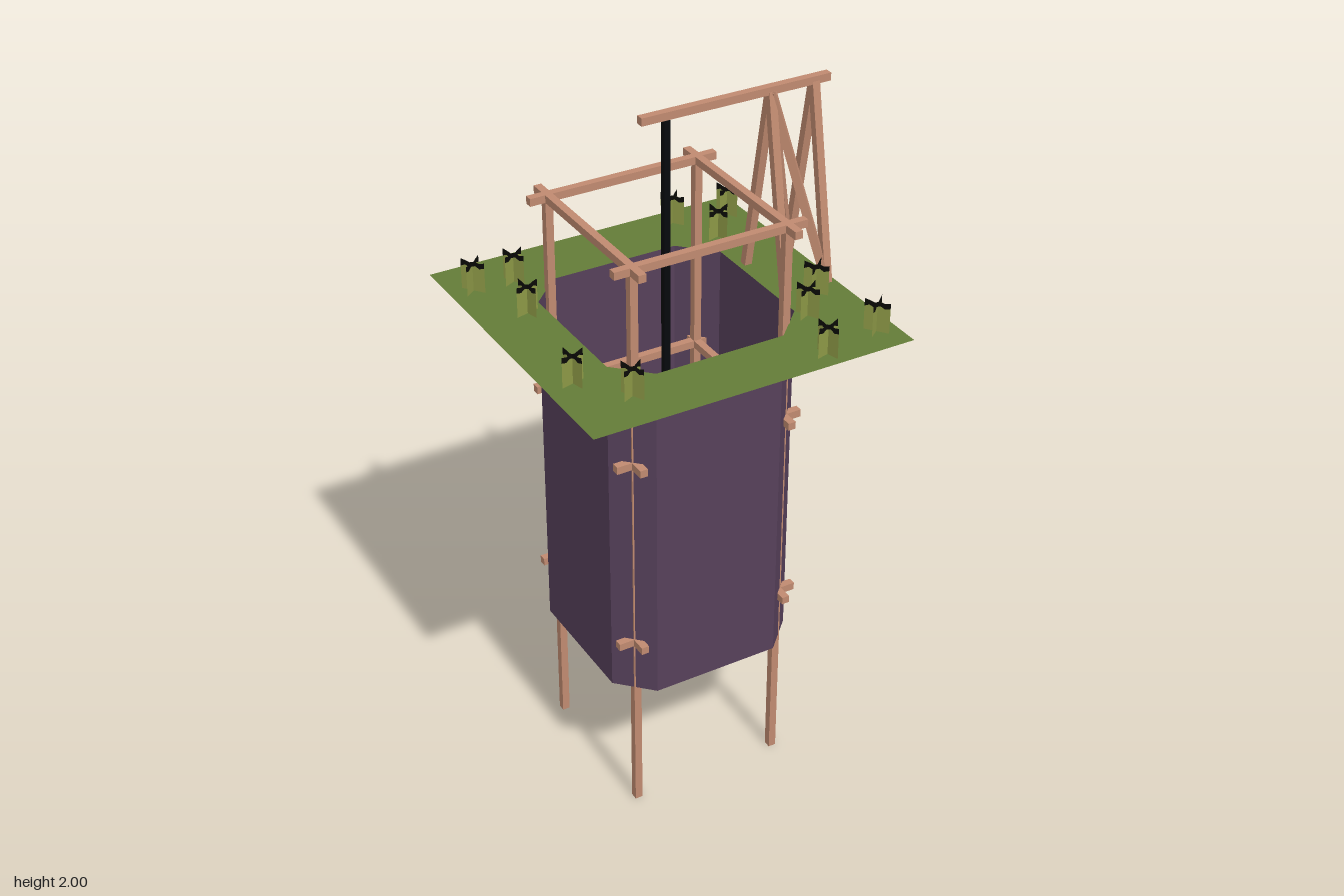
import * as THREE from 'three';

const mat = (name, color, side = THREE.FrontSide) => {
  const m = new THREE.MeshStandardMaterial({ color, side });
  m.name = name;
  return m;
};

export function createModel() {
  const model = new THREE.Group();
  model.name = 'wellShaft';
  const wood = mat('wood', 0xc08a70);
  const grass = mat('grass', 0x647c38, THREE.DoubleSide);
  const wall = mat('shaft wall', 0x56405a, THREE.DoubleSide);
  const dark = mat('shaft floor', 0x240e24, THREE.DoubleSide);
  const rope = mat('rope', 0x06090d);
  const blade = mat('grass blades', 0x8c9846, THREE.DoubleSide);
  const tip = mat('dark blade tips', 0x0a0a06, THREE.DoubleSide);

  const CX = -0.01, TOP = 1.44, FLOOR = 0.413, T = 0.022, POST = 0.225, HALF = 0.28;

  const add = (name, geometry, material, x = 0, y = 0, z = 0, parent = model) => {
    const m = new THREE.Mesh(geometry, material);
    m.name = name;
    m.position.set(x, y, z);
    parent.add(m);
    return m;
  };
  const box = (name, material, w, h, d, x, y, z) =>
    add(name, new THREE.BoxGeometry(w, h, d), material, x, y, z);

  // Square beam between two points
  const beam = (name, a, b) => {
    const from = new THREE.Vector3(...a), to = new THREE.Vector3(...b);
    const mid = from.clone().add(to).multiplyScalar(0.5);
    const m = box(name, wood, T, T, from.distanceTo(to), mid.x, mid.y, mid.z);
    m.lookAt(to);
    return m;
  };

  // Square with cut corners, shared by walls, floor and the hole in the grass
  const c = 0.188;
  const corners = [[HALF, -c], [HALF, c], [c, HALF], [-c, HALF],
    [-HALF, c], [-HALF, -c], [-c, -HALF], [c, -HALF]].map(p => new THREE.Vector2(...p));

  // Shaft walls
  const pos = [];
  corners.forEach((p, i) => {
    const q = corners[(i + 1) % corners.length];
    const a = [p.x, FLOOR, p.y], b = [q.x, FLOOR, q.y];
    const d = [p.x, TOP, p.y], e = [q.x, TOP, q.y];
    pos.push(...a, ...d, ...e, ...a, ...e, ...b);
  });
  const wallGeo = new THREE.BufferGeometry();
  wallGeo.setAttribute('position', new THREE.Float32BufferAttribute(pos, 3));
  wallGeo.computeVertexNormals();
  add('shaftWalls', wallGeo, wall, CX);

  // Shaft floor
  const floorGeo = new THREE.ShapeGeometry(new THREE.Shape(corners)).rotateX(-Math.PI / 2);
  add('shaftFloor', floorGeo, dark, CX, FLOOR);

  // Grass sheet around the opening
  const g = 0.466;
  const lawn = new THREE.Shape([[-g, -g], [g, -g], [g, g], [-g, g]].map(p => new THREE.Vector2(...p)));
  lawn.holes.push(new THREE.Path(corners.slice().reverse()));
  add('grassSheet', new THREE.ShapeGeometry(lawn).rotateX(-Math.PI / 2), grass, CX, TOP);

  // Corner posts, and square frames of crossing rails at three heights
  for (const sx of [-1, 1]) for (const sz of [-1, 1])
    box('cornerPost', wood, T, 1.73, T, CX + sx * POST, 0.865, sz * POST);
  for (const y of [0.57, 1.15, 1.72]) for (const s of [-1, 1]) {
    box('sideRail', wood, HALF * 2, T, T, CX, y, s * POST);
    box('crossRail', wood, T, T, HALF * 2, CX + s * POST, y, 0);
  }

  // Hoist: beam, two trestles, braces and rope
  box('hoistBeam', wood, 0.56, T, T, 0.195, 1.989, 0);
  for (const s of [-1, 1]) {
    for (const x of [0.298, 0.43])
      beam('trestleLeg', [x, TOP, s * 0.098], [x, 1.985, 0]);
    beam('trestleBrace', [0.43, TOP, s * 0.096], [0.3, 1.985, 0]);
  }
  box('rope', rope, 0.018, 1.585, 0.018, CX, 1.1875, 0);

  // Grass tufts: two crossed upright sheets with a ragged dark top
  const W = 0.035, H = 0.068;
  const ragged = [[-W, 0.088], [-0.02, 0.084], [-0.008, 0.088], [0.008, 0.083], [0.02, 0.087], [W, 0.09]];
  const seam = [[W, H], [0.022, 0.074], [0.01, H], [-0.008, 0.075], [-0.02, H], [-W, 0.072]];
  const outline = pts => new THREE.ShapeGeometry(new THREE.Shape(pts.map(p => new THREE.Vector2(...p))));
  const bladeGeo = outline([[-W, 0], [W, 0], ...seam]);
  const tipGeo = outline([...seam, ...ragged]);
  const tufts = [
    [-0.4, 0.217], [-0.3, 0.342], [-0.41, -0.33], [-0.34, -0.15], [-0.295, -0.32],
    [0.24, -0.4], [0.31, -0.267], [0.4, -0.37],
    [0.371, 0.135], [0.225, 0.413], [0.287, 0.224], [0.397, 0.38],
  ];
  tufts.forEach(([x, z], i) => {
    const tuft = new THREE.Group();
    tuft.name = 'grassTuft';
    tuft.position.set(x, TOP, z);
    tuft.rotation.y = 0.25 + (i % 3) * 0.2;
    for (const turn of [0, Math.PI / 2]) {
      add('blades', bladeGeo, blade, 0, 0, 0, tuft).rotation.y = turn;
      add('bladeTips', tipGeo, tip, 0, 0, 0, tuft).rotation.y = turn;
    }
    model.add(tuft);
  });

  return model;
}
